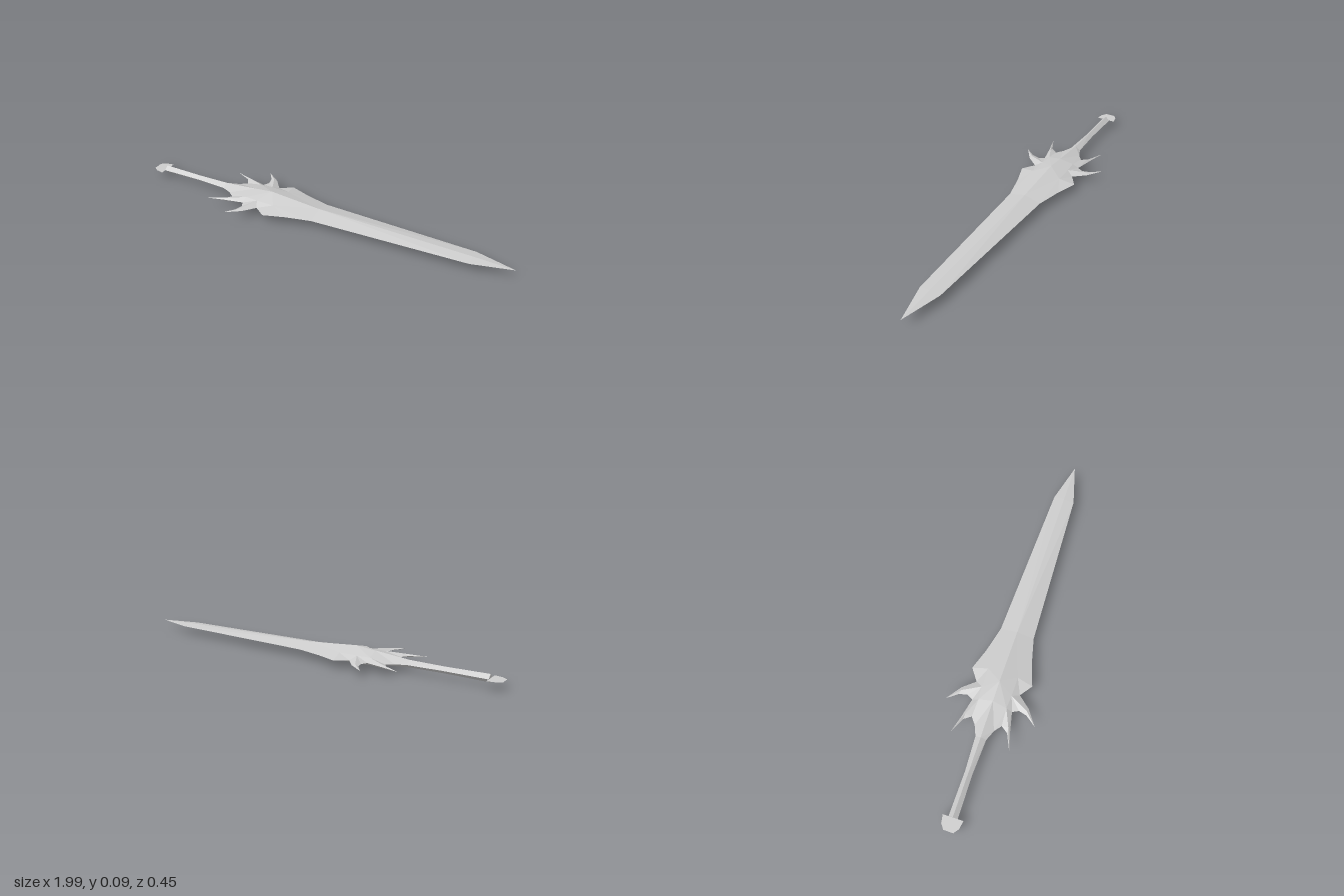
import * as THREE from 'three';

const MID = 0.046; // height of the sword's symmetry plane

// Points of one quarter of the sword: [x, z, height above the mid plane]
const P = {
  // central ridge, pommel end to tip
  a: [-0.935, 0, 0.019], b: [-0.72, 0, 0.016], c: [-0.55, 0, 0.018], d: [-0.37, 0, 0.034],
  e: [-0.27, 0, 0.044], f: [0, 0, 0.022], g: [0.79, 0, 0.007], t: [0.99, 0, 0],
  // sharp outer edge
  A: [-0.935, 0.022, 0], B: [-0.72, 0.019, 0], C: [-0.55, 0.027, 0], D: [-0.5, 0.048, 0],
  E: [-0.465, 0.075, 0], F: [-0.49, 0.11, 0], S: [-0.57, 0.147, 0], G: [-0.48, 0.122, 0],
  H: [-0.385, 0.1, 0], I: [-0.37, 0.13, 0], J: [-0.38, 0.17, 0], T: [-0.42, 0.224, 0],
  K: [-0.345, 0.17, 0], L: [-0.295, 0.11, 0], M: [-0.235, 0.153, 0], N: [-0.13, 0.117, 0],
  O: [0, 0.085, 0], Q: [0.79, 0.053, 0],
  // ridges of the spikes and shoulder
  p: [-0.465, 0.108, 0.009], q: [-0.38, 0.07, 0.018], r: [-0.36, 0.165, 0.007],
  s: [-0.315, 0.075, 0.018], u: [-0.22, 0.075, 0.018],
};

// Builds convex faces (named by their corners) mirrored left/right and top/bottom
function mirroredShell(faces) {
  const pos = [];
  const n = new THREE.Vector3(), e1 = new THREE.Vector3(), e2 = new THREE.Vector3();
  for (const sy of [1, -1]) for (const sz of [1, -1]) {
    for (const face of faces.split(' ')) {
      const v = [...face].map((k) => new THREE.Vector3(P[k][0], MID + sy * P[k][2], sz * P[k][1]));
      for (let i = 1; i < v.length - 1; i++) {
        const tri = [v[0], v[i], v[i + 1]];
        n.crossVectors(e1.subVectors(tri[1], tri[0]), e2.subVectors(tri[2], tri[0]));
        if (n.y * sy < 0) tri.reverse(); // face outward
        tri.forEach((w) => pos.push(w.x, w.y, w.z));
      }
    }
  }
  const geo = new THREE.BufferGeometry();
  geo.setAttribute('position', new THREE.Float32BufferAttribute(pos, 3));
  geo.computeVertexNormals();
  return geo;
}

// Flat polygon from 2D points
function plate(points) {
  return new THREE.ShapeGeometry(new THREE.Shape(points.map(([x, y]) => new THREE.Vector2(x, y))));
}

export function createModel() {
  const model = new THREE.Group();
  const steel = new THREE.MeshStandardMaterial({ color: 0xcccccc, flatShading: true, side: THREE.DoubleSide });
  steel.name = 'steel';
  const add = (name, geo) => {
    const mesh = new THREE.Mesh(geo, steel);
    mesh.name = name;
    model.add(mesh);
    return mesh;
  };

  // slim diamond-section handle
  add('grip', mirroredShell('aABb bBCc'));
  // flared guard with two swept spikes per side
  add('guard', mirroredShell(
    'cCD cDd dDq DEq qEp EFp FSp pSG pGH pHq dqe qHs qse sHI sIr IJr JTr rTK rKL rLs sLu sue'));
  // shoulders and long tapering blade
  add('blade', mirroredShell('LMu uMN uNO uOf euf fOQg gQt'));

  // diamond end of the handle
  const cap = add('gripEnd', plate([[-0.022, 0], [0, -0.019], [0.022, 0], [0, 0.019]]));
  cap.rotation.y = -Math.PI / 2;
  cap.position.set(-0.935, MID, 0);

  // flat pommel
  const pommel = add('pommel', plate([
    [-1, -0.024], [-0.975, -0.043], [-0.935, -0.05], [-0.935, 0.05], [-0.975, 0.043], [-1, 0.024]]));
  pommel.rotation.x = -Math.PI / 2;
  pommel.position.y = MID;

  return model;
}
